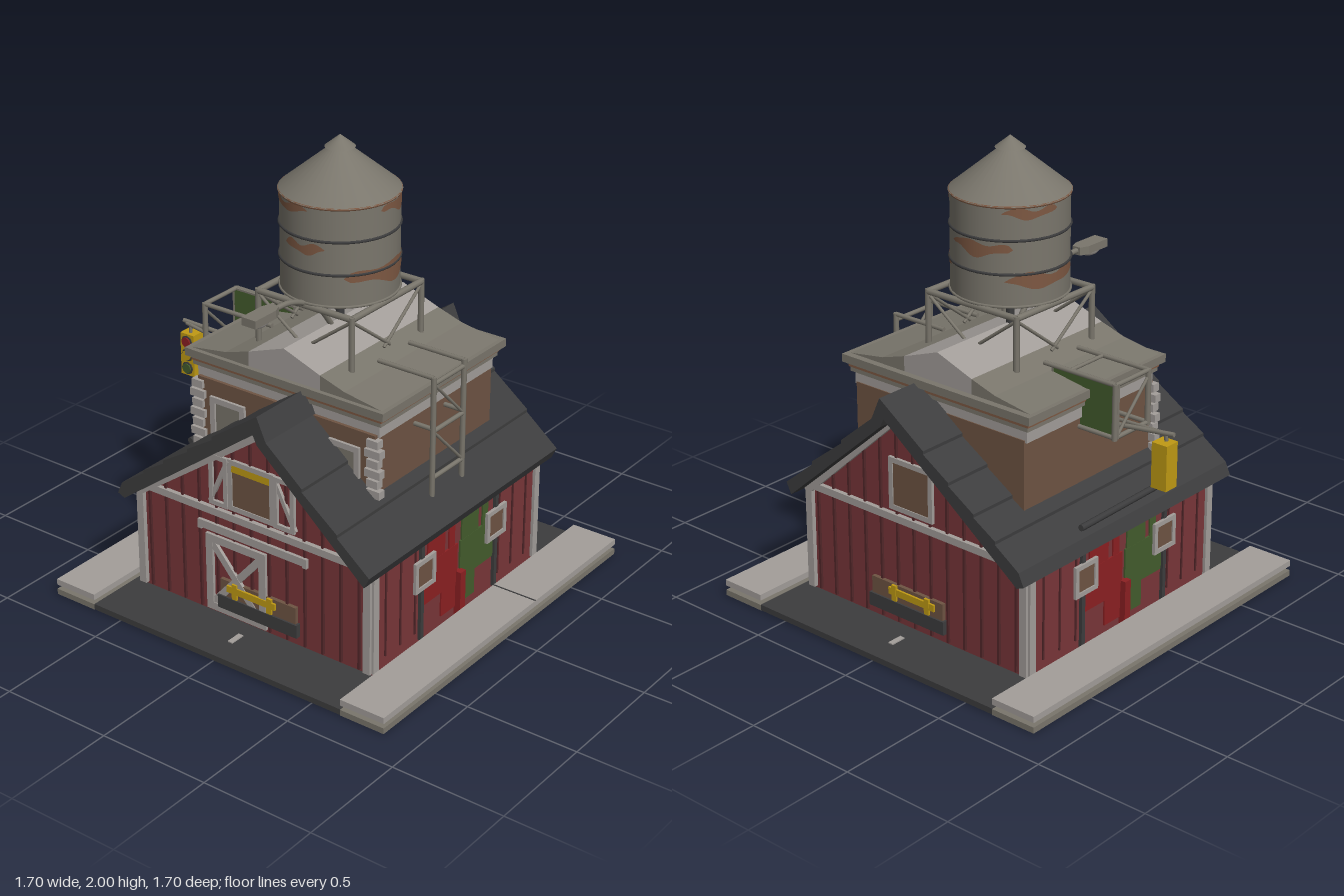
import * as THREE from 'three';

const mat = (name, color, double) => {
  const m = new THREE.MeshStandardMaterial({ color });
  m.name = name;
  if (double) m.side = THREE.DoubleSide;
  return m;
};

export function createModel() {
  const M = {
    dark: mat('charcoal', 0x3d3d3e), pale: mat('pale grey', 0xa39e9a),
    metal: mat('weathered metal', 0x7a766c), rust: mat('rust', 0x7d5842, true),
    brick: mat('brick', 0x6e5443), barn: mat('barn red', 0x793639),
    batten: mat('dark red', 0x53272a), red: mat('bright red', 0x8c2022),
    green: mat('green', 0x435c2d), yellow: mat('yellow', 0xc09a14),
  };
  const root = new THREE.Group();
  const group = (name, parent = root) => {
    const g = new THREE.Group();
    g.name = name;
    parent.add(g);
    return g;
  };
  const add = (p, name, geo, m) => {
    const mesh = new THREE.Mesh(geo, m);
    mesh.name = name;
    p.add(mesh);
    return mesh;
  };
  // box from opposite corners
  const box = (p, name, m, x0, x1, y0, y1, z0, z1) => {
    const b = add(p, name, new THREE.BoxGeometry(x1 - x0, y1 - y0, z1 - z0), m);
    b.position.set((x0 + x1) / 2, (y0 + y1) / 2, (z0 + z1) / 2);
    return b;
  };
  // round bar between two points
  const rod = (p, name, m, a, b, r = 0.01) => {
    const A = new THREE.Vector3(...a), B = new THREE.Vector3(...b);
    const mesh = add(p, name, new THREE.CylinderGeometry(r, r, A.distanceTo(B), 8), m);
    mesh.position.copy(A).add(B).multiplyScalar(0.5);
    mesh.quaternion.setFromUnitVectors(new THREE.Vector3(0, 1, 0), B.sub(A).normalize());
    return mesh;
  };
  // flat board in the xy plane
  const board = (p, name, m, x0, y0, x1, y1, w, z, d = 0.014) => {
    const b = add(p, name, new THREE.BoxGeometry(Math.hypot(x1 - x0, y1 - y0), w, d), m);
    b.position.set((x0 + x1) / 2, (y0 + y1) / 2, z);
    b.rotation.z = Math.atan2(y1 - y0, x1 - x0);
    return b;
  };
  const frame = (p, name, m, x0, x1, y0, y1, w, z) => {
    const h = w / 2;
    for (const y of [y0 + h, y1 - h]) board(p, name, m, x0, y, x1, y, w, z);
    for (const x of [x0 + h, x1 - h]) board(p, name, m, x, y0 + w, x, y1 - w, w, z);
  };
  const extrude = (p, name, m, pts, z0, z1) => {
    const g = new THREE.ExtrudeGeometry(new THREE.Shape(pts.map(q => new THREE.Vector2(...q))),
      { depth: z1 - z0, bevelEnabled: false });
    return add(p, name, g.translate(0, 0, z0), m);
  };

  // ground slab, pavements and road marks
  const ground = group('ground');
  box(ground, 'road', M.dark, -0.64, 0.64, 0.004, 0.03, -0.85, 0.85);
  box(ground, 'barnUnderside', M.batten, -0.55, 0.55, 0, 0.005, -0.55, 0.55);
  for (const s of [-1, 1]) {
    const [a, b] = s < 0 ? [-0.85, -0.64] : [0.64, 0.85];
    box(ground, 'kerb', M.metal, a, b, 0.002, 0.028, -0.85, 0.85);
    box(ground, 'pavement', M.pale, a, b, 0.048, 0.075, -0.85, 0.85);
    box(ground, 'roadMark', M.pale, -0.012, 0.012, 0.03, 0.035, s * 0.705 - 0.035, s * 0.705 + 0.035);
  }
  box(ground, 'pavementJoint', M.dark, 0.64, 0.85, 0.075, 0.077, -0.219, -0.213);

  // barn body and lopsided roof
  const barn = group('barn');
  extrude(barn, 'barnWalls', M.barn,
    [[-0.6, 0.03], [0.6, 0.03], [0.6, 0.49], [0.08, 0.975], [-0.6, 0.48]], -0.585, 0.585);
  const leftY = x => 0.535 + (x + 0.62) * 0.729, rightY = x => 0.955 - (x - 0.145) * 0.85;
  const roof = [[-0.645, 0.48], [-0.62, 0.535]];
  for (const x of [-0.5, -0.39, -0.26, -0.13]) roof.push([x, leftY(x) - 0.006], [x, leftY(x) + 0.008]);
  roof.push([0.1, 1.06], [0.145, 0.96]);
  for (const x of [0.32, 0.49]) roof.push([x, rightY(x) + 0.008], [x, rightY(x) - 0.006]);
  roof.push([0.645, 0.53], [0.62, 0.48], [0.1, 0.935], [0.08, 0.975], [-0.61, 0.465]);
  extrude(barn, 'barnRoof', M.dark, roof.reverse(), -0.67, 0.67);
  rod(barn, 'roofRail', M.dark, [-0.6, 0.57, -0.27], [-0.59, 0.57, 0.27], 0.014);

  // both gable ends: battens, trim and the vehicle poking out
  const wallTop = x => x < 0.08 ? 0.48 + (x + 0.6) * 0.728 : 0.975 - (x - 0.08) * 0.933;
  for (const s of [1, -1]) {
    const end = group(s > 0 ? 'frontGable' : 'backGable', barn);
    const z = s * 0.59;
    for (let x = -0.54; x < 0.56; x += 0.09)
      board(end, 'batten', M.batten, x, 0.04, x, wallTop(x) - 0.02, 0.01, z, 0.012);
    for (const x of [-0.585, 0.585]) board(end, 'cornerTrim', M.pale, x, 0.04, x, 0.52, 0.035, z, 0.03);
    board(end, 'eaveTrim', M.pale, -0.6, 0.515, 0.6, 0.515, 0.032, z, 0.03);
    board(end, 'gableTrim', M.pale, -0.6, 0.47, 0.08, 0.955, 0.035, z, 0.03);
    board(end, 'gableTrim', M.pale, 0.6, 0.48, 0.08, 0.955, 0.035, z, 0.03);
    box(end, 'loftOpening', M.brick, -0.1, 0.12, 0.56, 0.77, z - 0.008, z + 0.008);
    frame(end, 'loftFrame', M.pale, -0.11, 0.125, 0.55, 0.78, 0.022, z + s * 0.005);
    box(end, 'bumper', M.dark, -0.17, 0.24, 0.075, 0.135, z - 0.02, z + 0.02);
    box(end, 'vehicleFront', M.brick, -0.16, 0.23, 0.135, 0.21, z - 0.012, z + 0.012);
    board(end, 'yellowBar', M.yellow, -0.12, 0.18, 0.13, 0.18, 0.03, z + s * 0.015);
    for (const x of [-0.08, 0.1])
      board(end, 'yellowBracket', M.yellow, x, 0.14, x, 0.21, 0.025, z + s * 0.016);
  }

  // front doors
  const doors = group('frontDoors', barn);
  const fz = 0.6;
  board(doors, 'doorTrack', M.pale, -0.27, 0.44, 0.29, 0.44, 0.035, fz);
  for (const x of [-0.26, 0.28]) board(doors, 'trackEnd', M.pale, x, 0.415, x, 0.45, 0.02, fz);
  frame(doors, 'slidingDoor', M.pale, -0.23, 0.08, 0.05, 0.405, 0.035, fz);
  board(doors, 'doorBrace', M.pale, -0.21, 0.38, 0.06, 0.07, 0.032, fz - 0.002);
  board(doors, 'doorBrace', M.pale, -0.21, 0.07, 0.06, 0.38, 0.032, fz - 0.004);
  for (const [a, b, t] of [[-0.205, -0.11, 1], [0.125, 0.23, -1]]) {
    frame(doors, 'loftDoor', M.pale, a, b, 0.55, 0.78, 0.02, fz);
    board(doors, 'loftBrace', M.pale, t > 0 ? a : b, 0.56, t > 0 ? b : a, 0.77, 0.018, fz - 0.003);
  }
  board(doors, 'hayBale', M.yellow, -0.09, 0.745, 0.11, 0.745, 0.035, fz - 0.002, 0.008);

  // side walls, the second one turned half round (built facing +z, then rotated)
  for (const s of [1, -1]) {
    const side = group(s > 0 ? 'leftWall' : 'rightWall', barn);
    side.rotation.y = s * Math.PI / 2;
    const z = 0.605;
    for (let i = -5; i <= 5; i++)
      if (Math.abs(i) > 2) board(side, 'batten', M.batten, i * 0.1, 0.08, i * 0.1, 0.47, 0.008, z - 0.004, 0.01);
    for (const t of [-1, 1]) {
      board(side, 'cornerTrim', M.pale, t * 0.575, 0.04, t * 0.575, 0.48, 0.035, z, 0.016);
      board(side, 'downpipe', M.dark, t * 0.265, 0.04, t * 0.265, 0.49, 0.02, z, 0.02);
      const c = t * 0.255;
      box(side, 'windowPane', M.brick, c - 0.06, c + 0.06, 0.29, 0.41, z, z + 0.013);
      frame(side, 'windowFrame', M.pale, c - 0.07, c + 0.07, 0.28, 0.42, 0.02, z + 0.012);
      const m = t < 0 ? M.red : M.green;
      const a = t < 0 ? -0.25 : 0.01, b = t < 0 ? -0.01 : 0.25;
      box(side, 'wallPanel', m, a, b, 0.19, 0.37, z - 0.005, z + 0.003);
      box(side, 'upperStrip', m, t * 0.12 - 0.1, t * 0.12 + 0.02, 0.37, 0.49, z - 0.005, z + 0.002);
      box(side, 'upperStrip', m, t * 0.12 + 0.05, t * 0.12 + 0.09, 0.37, 0.49, z - 0.005, z + 0.002);
      box(side, 'lowerStrip', m, t * 0.07 - 0.05, t * 0.07 + 0.05, 0.075, 0.19, z - 0.005, z + 0.002);
    }
    box(side, 'sidePost', M.red, -0.018, 0.018, 0.02, 0.24, 0.6, 0.632);
  }

  // brick storey with corner stones and cornice
  const upper = group('brickStorey');
  box(upper, 'brickWalls', M.brick, -0.45, 0.45, 0.5, 0.96, -0.44, 0.37);
  for (const s of [-1, 1]) {
    for (let i = 0; i < 9; i++) {
      const w = i % 2 ? 0.075 : 0.055, y = 0.56 + i * 0.044;
      box(upper, 'cornerStone', M.pale, s * 0.445 - w / 2, s * 0.445 + w / 2, y, y + 0.034, 0.35, 0.385);
    }
    box(upper, 'windowPane', M.metal, s * 0.29 - 0.07, s * 0.29 + 0.07, 0.7, 0.87, 0.366, 0.374);
    frame(upper, 'windowFrame', M.pale, s * 0.29 - 0.09, s * 0.29 + 0.09, 0.68, 0.89, 0.025, 0.376);
  }
  for (const [m, x, y0, y1] of [[M.pale, 0.46, 0.95, 1.005], [M.metal, 0.475, 1.005, 1.025],
    [M.rust, 0.48, 1.025, 1.045], [M.metal, 0.5, 1.045, 1.08]])
    box(upper, 'cornice', m, -x, x, y0, y1, -0.04 - x * 0.86, -0.04 + x * 0.86);
  const lid = (name, m, pts) => extrude(upper, name, m, pts, -0.44, 0.37);
  lid('roofRidge', M.pale, [[-0.18, 1.07], [0.18, 1.07], [0.18, 1.145], [0, 1.21], [-0.18, 1.145]]);
  lid('roofSlopeLeft', M.metal, [[0.18, 1.07], [0.48, 1.07], [0.48, 1.08], [0.3, 1.108], [0.18, 1.145]]);
  lid('roofSlopeRight', M.metal, [[-0.18, 1.07], [-0.18, 1.145], [-0.3, 1.108], [-0.48, 1.08], [-0.48, 1.07]]);

  // lattice frames on both sides
  for (const s of [-1, 1]) {
    const f = group('sideLattice');
    const x = s * (s > 0 ? 0.54 : 0.63), low = s > 0 ? 0.61 : 0.9;
    for (const z of [-0.105, 0.105]) {
      rod(f, 'post', M.metal, [x, low, z], [x, 1.14, z], 0.012);
      rod(f, 'topArm', M.metal, [s * 0.27, 1.135, z], [x, 1.135, z]);
      rod(f, 'wallArm', M.metal, [s * 0.44, 0.91, z], [x, 0.91, z]);
    }
    for (const y of s > 0 ? [1.11, 0.9, 0.69] : [1.135, 0.91])
      rod(f, 'rung', M.metal, [x, y, -0.105], [x, y, 0.105]);
    rod(f, 'brace', M.metal, [x, 0.9, -0.105], [x, 1.11, 0.105], 0.007);
    if (s > 0) rod(f, 'brace', M.metal, [x, 0.9, 0.105], [x, 0.69, -0.105], 0.007);
  }
  rod(root, 'latticeCrossBar', M.metal, [-0.4, 1.135, -0.105], [-0.4, 1.135, 0.105], 0.008);

  // road sign
  const sign = group('roadSign');
  box(sign, 'signPlate', M.green, -0.635, -0.31, 0.91, 1.135, -0.1, -0.092);
  frame(sign, 'signEdge', M.metal, -0.64, -0.305, 0.905, 1.14, 0.008, -0.096);

  // traffic light on its bracket
  const signal = group('trafficLight');
  rod(signal, 'arm', M.metal, [-0.85, 0.957, -0.01], [-0.45, 0.925, -0.05]);
  rod(signal, 'arm', M.metal, [-0.83, 0.95, -0.005], [-0.45, 0.92, 0.03], 0.008);
  rod(signal, 'hanger', M.metal, [-0.805, 0.91, 0], [-0.805, 0.955, -0.005], 0.008);
  box(signal, 'housing', M.yellow, -0.842, -0.768, 0.72, 0.915, -0.045, 0.025);
  [M.green, M.yellow, M.red].forEach((m, i) => {
    const y = 0.755 + i * 0.062;
    rod(signal, 'lampRim', M.dark, [-0.805, y, 0.024], [-0.805, y, 0.03], 0.029);
    rod(signal, 'lamp', m, [-0.805, y, 0.024], [-0.805, y, 0.036], 0.023);
  });

  // water tank on its stand
  const tower = group('waterTower');
  const L = 0.235;
  for (let i = 0; i < 4; i++) {
    const face = group('standSide', tower);
    face.rotation.y = i * Math.PI / 2;
    rod(face, 'leg', M.metal, [L, 1.07, L], [L, 1.36, L], 0.013);
    rod(face, 'topBeam', M.metal, [-L, 1.35, L], [L, 1.35, L], 0.014);
    rod(face, 'crossBrace', M.metal, [-L, 1.34, L], [0.02, 1.15, L], 0.007);
    rod(face, 'crossBrace', M.metal, [L, 1.34, L], [-0.02, 1.15, L], 0.007);
  }
  rod(tower, 'feedPipe', M.dark, [0, 1.18, 0], [0, 1.37, 0], 0.018);
  const tank = add(tower, 'tank', new THREE.CylinderGeometry(0.243, 0.243, 0.42, 32), M.metal);
  tank.position.y = 1.57;
  const cone = (name, r, y0, y1) => {
    const c = add(tower, name, new THREE.ConeGeometry(r, y1 - y0, 32), M.metal);
    c.position.y = (y0 + y1) / 2;
  };
  cone('tankRoof', 0.25, 1.78, 1.985);
  cone('tankCap', 0.062, 1.95, 2);
  for (const [y, m] of [[1.365, M.metal], [1.5, M.dark], [1.64, M.dark], [1.778, M.rust]]) {
    const ring = add(tower, 'tankHoop', new THREE.TorusGeometry(0.244, 0.006, 6, 40), m);
    ring.rotation.x = Math.PI / 2;
    ring.position.y = y;
  }
  // rust stains hugging the tank; angle 0 faces front
  for (const [mid, span, y, h] of [[-0.45, 1.1, 1.755, 0.045], [0, 0.8, 1.6, 0.055], [1.65, 1.9, 1.485, 0.1],
    [1.9, 1.1, 1.75, 0.06], [3.3, 1.2, 1.6, 0.07], [4.5, 1.5, 1.47, 0.08], [4.2, 1.0, 1.75, 0.05]]) {
    const g = new THREE.CylinderGeometry(0.2455, 0.2455, 1, 16, 1, true, mid - span / 2, span);
    const p = g.attributes.position;
    for (let i = 0; i < p.count; i++) {
      const u = (i % 17) / 16;
      const wave = Math.sin(u * Math.PI) ** 0.5 * (0.75 + 0.25 * Math.sin(u * 11 + mid));
      p.setY(i, Math.min(1.778, y + p.getY(i) * h * wave + 0.008 * Math.sin(u * 9)));
    }
    add(tower, 'rustStain', g, M.rust);
  }

  // street lamp reaching over the front
  const lamp = group('streetLamp');
  const path = new THREE.CatmullRomCurve3([[0.05, 1.19], [0.13, 1.29], [0.24, 1.36], [0.34, 1.395], [0.45, 1.4]]
    .map(([z, y]) => new THREE.Vector3(0, y, z)));
  add(lamp, 'lampArm', new THREE.TubeGeometry(path, 20, 0.012, 8), M.metal);
  const head = [[-0.02, 0.42], [0.02, 0.42], [0.035, 0.46], [0.035, 0.585], [-0.035, 0.585], [-0.035, 0.46]];
  const shell = extrude(lamp, 'lampHead', M.metal, head.map(([x, z]) => [x, -z]).reverse(), 0, 0.035);
  shell.rotation.x = -Math.PI / 2;
  shell.position.y = 1.382;
  const lens = add(lamp, 'lampLens', new THREE.SphereGeometry(1, 16, 8), M.pale);
  lens.scale.set(0.03, 0.025, 0.055);
  lens.position.set(0, 1.382, 0.515);
  return root;
}
